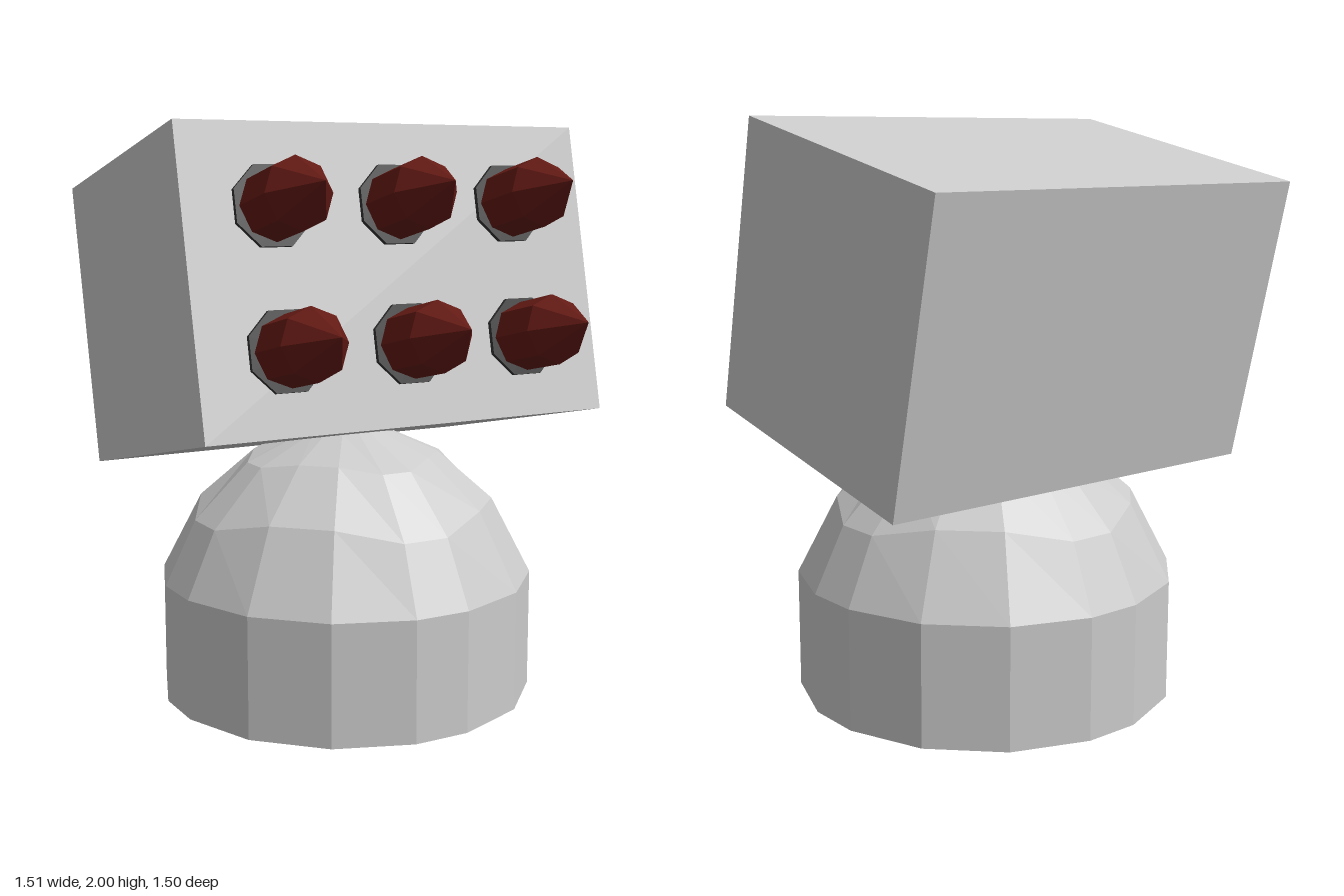
import * as THREE from 'three';

const grey = new THREE.MeshStandardMaterial({ color: 0xcccccc, flatShading: true });
const red = new THREE.MeshStandardMaterial({ color: 0x641a14, flatShading: true });
const dark = new THREE.MeshStandardMaterial({ color: 0x333333, flatShading: true });

function part(name, geometry, material, x = 0, y = 0, z = 0) {
  const mesh = new THREE.Mesh(geometry, material);
  mesh.name = name;
  mesh.position.set(x, y, z);
  return mesh;
}

// Sixteen-sided drum with a faceted dome, built from stacked rings
function domeGeometry() {
  const R = 0.667, centreY = 0.28;
  const angles = [];
  for (let q = 0; q < 4; q++) for (const a of [8.6, 32.7, 57.3, 81.4]) angles.push((q * 90 + a) * Math.PI / 180);
  const n = angles.length;
  // radius, height, rise towards the diagonals
  const rings = [[0, 0, 0], [R, 0, 0], [R, 0.42, 0], [0.567, 0.64, 0.06], [0.372, 0.835, 0.03], [0.14, 0.94, 0], [0, 0.945, 0]];
  const pos = [], index = [];
  for (const [r, y, rise] of rings) {
    for (const a of angles) {
      const h = y + rise * Math.sin(2 * a) ** 2;
      const rr = rise ? Math.min(r, Math.sqrt(R * R - (h - centreY) ** 2)) : r;
      pos.push(rr * Math.sin(a), h, rr * Math.cos(a));
    }
  }
  for (let j = 0; j < rings.length - 1; j++) {
    for (let i = 0; i < n; i++) {
      const a = j * n + i, b = j * n + (i + 1) % n;
      if (rings[j][0] > 0) index.push(a, b, a + n);
      if (rings[j + 1][0] > 0) index.push(b, b + n, a + n);
      else if (rings[j][0] === 0) index.push(b, b + n, a + n);
    }
  }
  const g = new THREE.BufferGeometry();
  g.setAttribute('position', new THREE.Float32BufferAttribute(pos, 3));
  g.setIndex(index);
  g.computeVertexNormals();
  return g;
}

export function createModel() {
  const model = new THREE.Group();
  model.name = 'missileTurret';
  model.add(part('domedBase', domeGeometry(), grey, 0, 0, -0.05));

  // Launcher box tilted upwards, carrying the missiles
  const launcher = new THREE.Group();
  launcher.name = 'launcher';
  launcher.position.set(0, 1.4025, -0.153);
  launcher.rotation.x = -THREE.MathUtils.degToRad(12.4);
  launcher.add(part('launcherBox', new THREE.BoxGeometry(1.51, 1.003, 1.003), grey));

  // Missile: eight-sided body, pointed nose
  const body = new THREE.CylinderGeometry(0.117, 0.117, 0.3, 8).rotateX(Math.PI / 2);
  const nose = new THREE.ConeGeometry(0.117, 0.175, 8).rotateX(Math.PI / 2);
  // Collar around each launch hole, with flat sides
  const collar = new THREE.CylinderGeometry(0.141, 0.141, 0.04, 8).rotateY(Math.PI / 8).rotateX(Math.PI / 2);
  for (const y of [-0.23, 0.23]) {
    for (const x of [-0.45, 0, 0.45]) {
      const missile = new THREE.Group();
      missile.name = 'missile';
      missile.position.set(x, y, 0);
      missile.add(
        part('missileBody', body, red, 0, 0, 0.55),
        part('missileNose', nose, red, 0, 0, 0.7875),
        part('collar', collar, dark, 0, 0, 0.497)
      );
      launcher.add(missile);
    }
  }
  model.add(launcher);
  return model;
}
